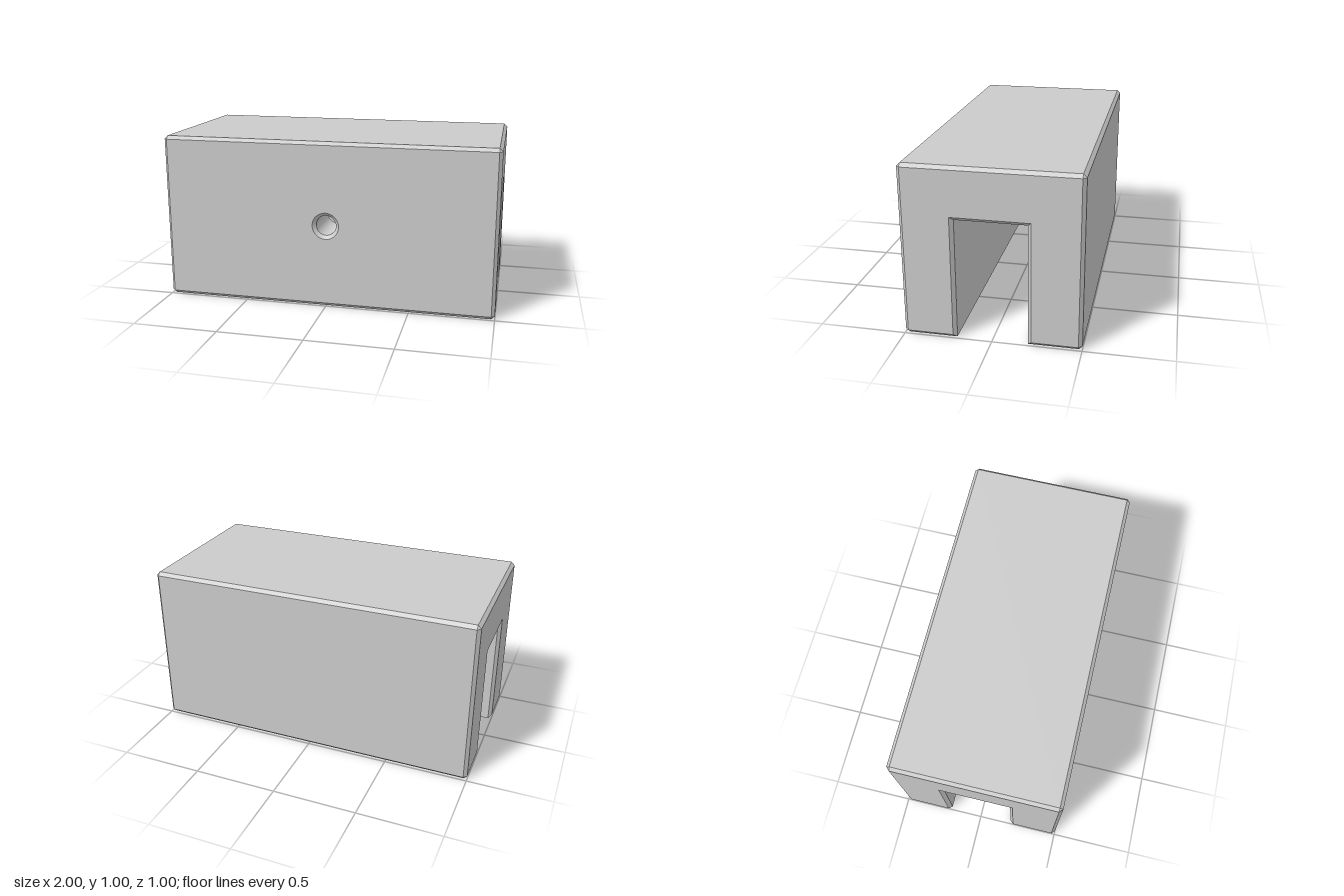
import * as THREE from 'three';

const BEVEL = 0.02;
const HOLE_Y = 0.5;
const HOLE_R = 0.06;

// Full section of the channel block as [z, y], anticlockwise from the slot mouth
const SECTION = [
  [0.2, 0], [0.48, 0], [0.5, 0.02], [0.5, 0.98], [0.48, 1], [-0.48, 1],
  [-0.5, 0.98], [-0.5, 0.02], [-0.48, 0], [-0.2, 0], [-0.2, 0.7], [0.2, 0.7],
];
// The same section drawn in by the bevel, for the two end faces
const END = [
  [0.22, 0.02], [0.48, 0.02], [0.48, 0.02], [0.48, 0.98], [0.48, 0.98], [-0.48, 0.98],
  [-0.48, 0.98], [-0.48, 0.02], [-0.48, 0.02], [-0.22, 0.02], [-0.22, 0.72], [0.22, 0.72],
];
const FRONT_EDGE = 2; // section edge of the front wall's outside
const SLOT_EDGE = 11; // section edge of the front wall's inside

// Flat-shaded skin through a row of sections; skip(station, edge) leaves a face open
function loft(stations, skip) {
  const positions = [];
  const addTriangle = (a, b, c) => {
    if (new THREE.Triangle(a, b, c).getArea() < 1e-8) return;
    for (const p of [a, b, c]) positions.push(p.x, p.y, p.z);
  };
  const point = ({ x, ring }, i) => {
    const [z, y] = ring[i % ring.length];
    return new THREE.Vector3(x, y, z);
  };
  for (let s = 0; s < stations.length - 1; s++) {
    for (let i = 0; i < SECTION.length; i++) {
      if (skip(s, i)) continue;
      const a = point(stations[s], i), b = point(stations[s], i + 1);
      const c = point(stations[s + 1], i + 1), d = point(stations[s + 1], i);
      addTriangle(a, d, c);
      addTriangle(a, c, b);
    }
  }
  const geometry = new THREE.BufferGeometry();
  geometry.setAttribute('position', new THREE.Float32BufferAttribute(positions, 3));
  geometry.computeVertexNormals();
  return geometry;
}

// Flat wall panel in the xy plane with a round opening
function piercedPanel(y0, y1, radius) {
  const w = 1 - BEVEL;
  const shape = new THREE.Shape([[-w, y0], [w, y0], [w, y1], [-w, y1]].map(p => new THREE.Vector2(...p)));
  shape.holes.push(new THREE.Path().absarc(0, HOLE_Y, radius, 0, Math.PI * 2, true));
  return new THREE.ShapeGeometry(shape, 24);
}

// Inward-facing round wall along z, from [radius, z] to [radius, z]
function bore(from, to) {
  const points = [from, to].map(p => new THREE.Vector2(...p));
  return new THREE.LatheGeometry(points, 48).rotateX(Math.PI / 2).translate(0, HOLE_Y, 0);
}

export function createModel() {
  const model = new THREE.Group();
  model.name = 'channelBlock';
  const material = new THREE.MeshStandardMaterial({ color: 0xcccccc });
  const add = (name, geometry) => {
    const mesh = new THREE.Mesh(geometry, material);
    mesh.name = name;
    model.add(mesh);
    return mesh;
  };

  // Body with bevelled ends, left open where the screw hole passes the front wall
  const stations = [
    { x: -1, ring: END }, { x: -1 + BEVEL, ring: SECTION },
    { x: 1 - BEVEL, ring: SECTION }, { x: 1, ring: END },
  ];
  add('body', loft(stations, (s, i) => s === 1 && (i === FRONT_EDGE || i === SLOT_EDGE)));

  // End faces
  for (const side of [1, -1]) {
    const shape = new THREE.Shape(END.filter((p, i) => i === 0 || String(p) !== String(END[i - 1]))
      .map(p => new THREE.Vector2(...p)));
    const face = new THREE.ShapeGeometry(shape).rotateY(side * Math.PI / 2).translate(side, 0, 0);
    add(side > 0 ? 'leftEndFace' : 'rightEndFace', face);
  }

  // Both sides of the front wall
  add('frontFace', piercedPanel(0.02, 0.98, HOLE_R + BEVEL).translate(0, 0, 0.5));
  add('slotFrontFace', piercedPanel(0, 0.7, HOLE_R).rotateY(Math.PI).translate(0, 0, 0.2));

  // Countersunk screw hole through the front wall
  add('holeBevel', bore([HOLE_R + BEVEL, 0.5], [HOLE_R, 0.5 - BEVEL]));
  add('holeBore', bore([HOLE_R, 0.5 - BEVEL], [HOLE_R, 0.2]));

  return model;
}
